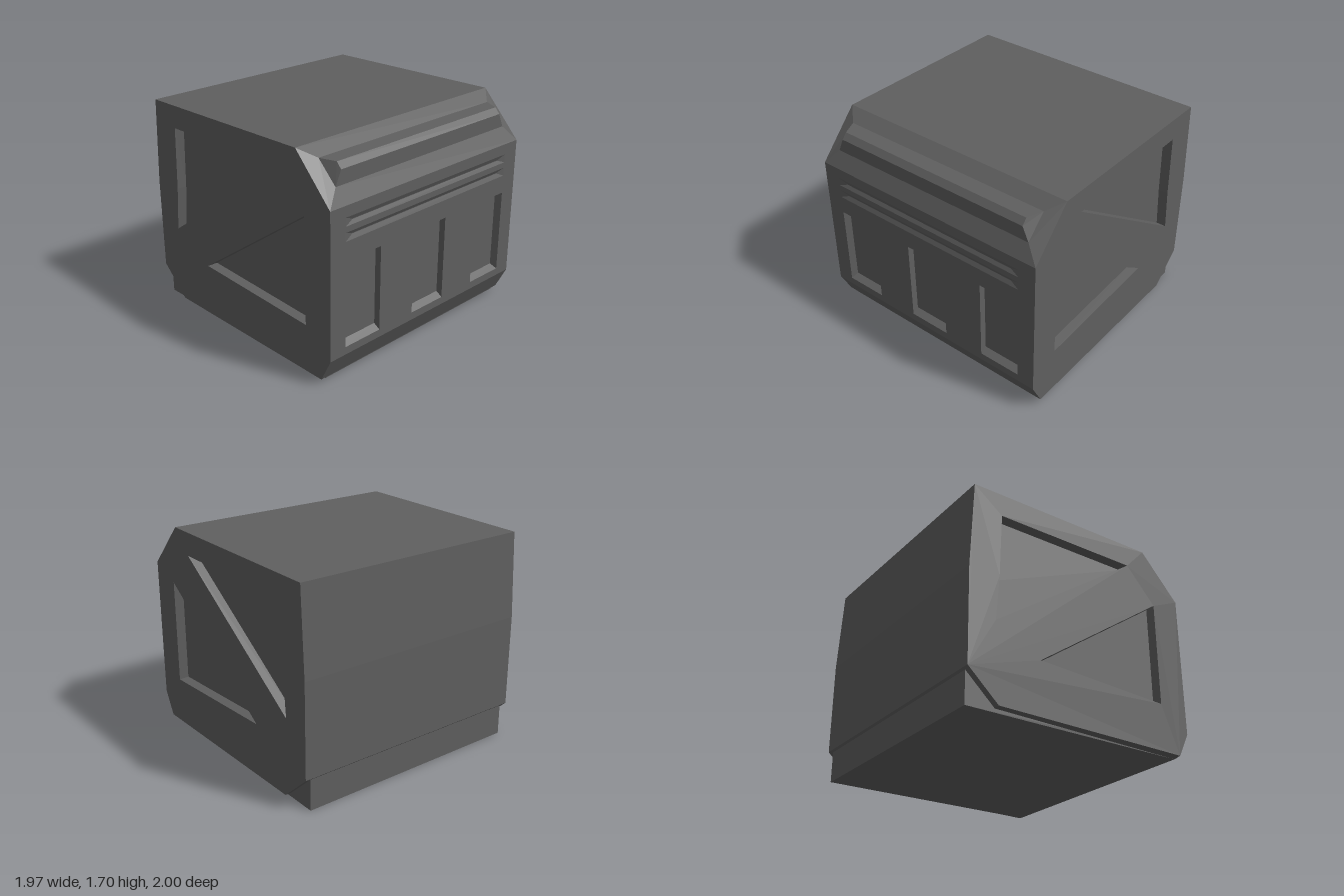
import * as THREE from 'three';

const material = new THREE.MeshStandardMaterial({ color: 0x5f5f5f, flatShading: true });

function meshFrom(name, positions) {
  const g = new THREE.BufferGeometry();
  g.setAttribute('position', new THREE.Float32BufferAttribute(positions, 3));
  g.computeVertexNormals();
  const m = new THREE.Mesh(g, material);
  m.name = name;
  return m;
}

// Corners run counter-clockwise seen from outside
const quad = (out, a, b, c, d) => [a, b, c, a, c, d].forEach(p => out.push(...p));

// The same quad at the +z end and mirrored at the -z end
function quadBothEnds(out, face) {
  quad(out, ...face);
  quad(out, ...face.map(([x, y, z]) => [x, y, -z]).reverse());
}

const toVectors = pts => {
  const v = pts.map(p => new THREE.Vector2(...p));
  return THREE.ShapeUtils.isClockWise(v) ? v.reverse() : v;
};

function fill(out, outline, holes, z) {
  const all = [outline, ...holes].flat();
  for (const tri of THREE.ShapeUtils.triangulateShape(outline, holes))
    for (const i of tri) out.push(all[i].x, all[i].y, z);
}

// Flat panel facing +z with sunken pockets, each { outer, inner, depth }
function recessedPanel(name, outline, pockets) {
  const out = [];
  const rims = pockets.map(p => toVectors(p.outer));
  fill(out, toVectors(outline), rims.map(r => r.slice().reverse()), 0);
  pockets.forEach((p, k) => {
    const rim = rims[k], floor = toVectors(p.inner), n = rim.length;
    for (let i = 0; i < n; i++) {
      const j = (i + 1) % n;
      quad(out, [rim[i].x, rim[i].y, 0], [rim[j].x, rim[j].y, 0],
        [floor[j].x, floor[j].y, -p.depth], [floor[i].x, floor[i].y, -p.depth]);
    }
    fill(out, floor, [], -p.depth);
  });
  return meshFrom(name, out);
}

// Sweep a profile of [x, y, halfLength] points along z, facing outward
function strip(out, pts) {
  for (let i = 0; i < pts.length - 1; i++) {
    const [px, py, pz] = pts[i], [qx, qy, qz] = pts[i + 1];
    quad(out, [px, py, -pz], [qx, qy, -qz], [qx, qy, qz], [px, py, pz]);
  }
}

export function createModel() {
  const group = new THREE.Group();

  // Body outline, counter-clockwise from the top of the side wall
  const profile = [[0.655, 1.7], [-0.95, 1.675], [-0.985, 1.0], [-0.985, 0.26],
    [-0.74, 0.035], [0.89, 0.035], [0.985, 0.22], [0.985, 1.35]];

  const shell = [];
  strip(shell, profile.slice(0, 7).map(([x, y]) => [x, y, 1]));
  group.add(meshFrom('bodyShell', shell));

  // End walls with two triangular pockets split by a diagonal brace
  const triangles = [
    { outer: [[-0.715, 1.5], [-0.735, 1.0], [-0.765, 0.65], [0.48, 1.515]],
      inner: [[-0.706, 1.492], [-0.727, 1.0], [-0.757, 0.657], [0.465, 1.506]] },
    { outer: [[0.735, 1.24], [-0.39, 0.455], [0.735, 0.41]],
      inner: [[0.729, 1.234], [-0.375, 0.462], [0.729, 0.417]] },
  ];
  for (const side of [1, -1]) {
    const flip = pts => pts.map(([x, y]) => [x * side, y]);
    const wall = recessedPanel(side > 0 ? 'frontWall' : 'backWall', flip(profile),
      triangles.map(t => ({ outer: flip(t.outer), inner: flip(t.inner), depth: 0.075 })));
    wall.position.z = side;
    if (side < 0) wall.rotation.y = Math.PI;
    group.add(wall);
  }

  // Side wall with three window pockets and two long, shallow grooves
  const rect = (u0, u1, v0, v1) => [[u0, v0], [u1, v0], [u1, v1], [u0, v1]];
  const pockets = [-1, 0, 1].map(s => {
    const c = s * 0.688, l = c - 0.171, r = c + 0.171;
    return {
      outer: rect(l, r, 0.28, 0.945),
      inner: rect(l + (s < 0 ? 0.022 : 0.002), r - (s > 0 ? 0.022 : 0.002), 0.314, 0.912),
      depth: 0.05,
    };
  });
  for (const [v0, mid, v1] of [[1.2, 1.23, 1.265], [1.09, 1.125, 1.155]])
    pockets.push({ outer: rect(-0.86, 0.86, v0, v1),
      inner: rect(-0.785, 0.785, mid - 0.002, mid + 0.002), depth: 0.015 });
  const sideWall = recessedPanel('sideWall', rect(-1, 1, 0.22, 1.35), pockets);
  sideWall.rotation.y = Math.PI / 2;
  sideWall.position.x = 0.985;
  group.add(sideWall);

  // Raised ledge over the chamfered upper edge, tapering in at both ends
  const P2 = [0.985, 1.35, 1], D = [0.92, 1.47, 0.89], C = [0.92, 1.58, 0.84],
    B = [0.88, 1.625, 0.84], A = [0.76, 1.63, 0.89], P1 = [0.655, 1.7, 1];
  const ledge = [];
  strip(ledge, [P2, D, C, B, A, P1]);
  quadBothEnds(ledge, [P2, D, A, P1]);
  quadBothEnds(ledge, [D, C, B, A]);
  group.add(meshFrom('upperLedge', ledge));

  // Sloped skirts from the end walls down to the inset base
  const skirts = [];
  quadBothEnds(skirts, [[-0.74, 0.035, 1], [-0.74, 0.032, 0.95], [0.88, 0.02, 0.95], [0.89, 0.035, 1]]);
  group.add(meshFrom('endSkirts', skirts));

  // Inset base, showing below the cut corner
  const base = new THREE.Shape(toVectors([[-0.97, 0], [0.88, 0.02], [0.89, 0.06], [-0.97, 0.3]]));
  const baseMesh = new THREE.Mesh(
    new THREE.ExtrudeGeometry(base, { depth: 1.9, bevelEnabled: false }), material);
  baseMesh.name = 'base';
  baseMesh.position.z = -0.95;
  group.add(baseMesh);

  return group;
}
